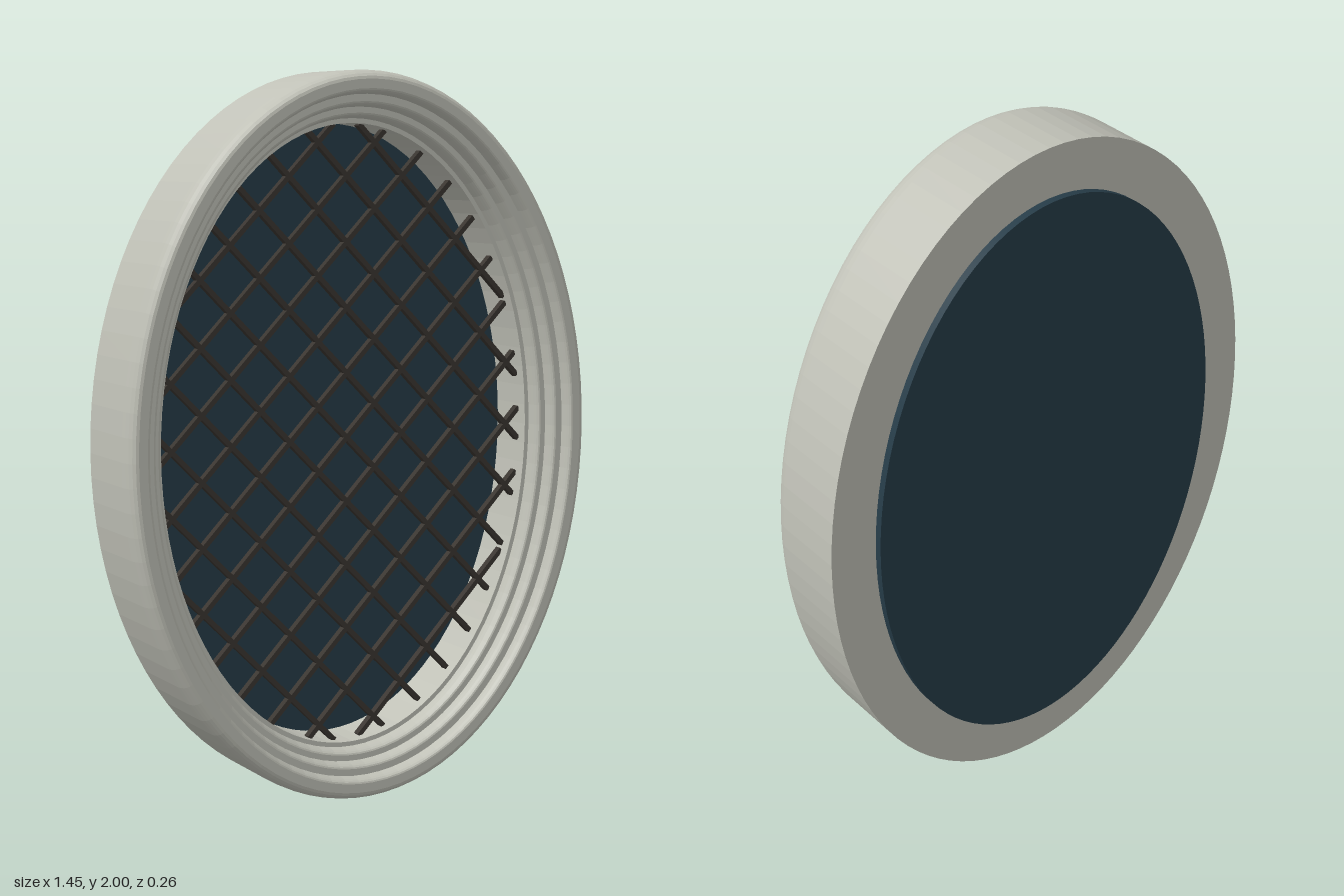
import * as THREE from 'three';

const RX = 0.725, RY = 1.0, RIM = 0.14, SEGMENTS = 96;

// Sweep a closed (inset, z) profile round the oval
function ovalSweep(profile) {
  const positions = [], index = [], n = profile.length;
  for (let i = 0; i < SEGMENTS; i++) {
    const a = (i / SEGMENTS) * Math.PI * 2;
    for (const [inset, z] of profile) {
      positions.push((RX - inset) * Math.cos(a), (RY - inset) * Math.sin(a), z);
    }
  }
  for (let i = 0; i < SEGMENTS; i++) {
    const next = (i + 1) % SEGMENTS;
    for (let j = 0; j < n; j++) {
      const k = (j + 1) % n;
      const a = i * n + j, b = next * n + j, c = next * n + k, d = i * n + k;
      index.push(a, b, c, a, c, d);
    }
  }
  const geometry = new THREE.BufferGeometry();
  geometry.setAttribute('position', new THREE.Float32BufferAttribute(positions, 3));
  geometry.setIndex(index);
  const flat = geometry.toNonIndexed();
  flat.computeVertexNormals();
  return flat;
}

function addMesh(parent, name, geometry, material) {
  const mesh = new THREE.Mesh(geometry, material);
  mesh.name = name;
  parent.add(mesh);
  return mesh;
}

export function createModel() {
  const model = new THREE.Group();
  model.name = 'ovalWindow';
  const stone = new THREE.MeshStandardMaterial({ color: 0xc0c1b7, flatShading: true });
  const glass = new THREE.MeshStandardMaterial({ color: 0x263c48 });
  const lead = new THREE.MeshStandardMaterial({ color: 0x3a3530 });

  const window = new THREE.Group();
  window.name = 'window';
  window.position.y = RY;
  model.add(window);

  // Moulded frame: straight outside, rounded steps falling towards the opening
  const profile = [[0, -0.115], [0, 0.08]];
  const steps = [[0, 0.08, 0.13], [0.05, 0.13, 0.095], [0.083, 0.095, 0.06], [0.113, 0.06, 0.02]];
  steps.forEach(([inset, from, to], s) => {
    const width = s === 0 ? 0.025 : 0.014;
    for (let i = 1; i <= 5; i++) {
      const t = (i / 5) * Math.PI / 2;
      // The first corner is convex; the later steps curve down
      profile.push(s === 0
        ? [inset + width * (1 - Math.cos(t)), from + (to - from) * Math.sin(t)]
        : [inset + width * Math.sin(t), from + (to - from) * (1 - Math.cos(t))]);
    }
    profile.push([s < 3 ? steps[s + 1][0] : RIM, to]);
  });
  profile.push([RIM, -0.115]);
  addMesh(window, 'frame', ovalSweep(profile), stone);

  // Oval pane standing slightly proud of the back
  const pane = new THREE.CylinderGeometry(1, 1, 0.02, SEGMENTS);
  pane.rotateX(Math.PI / 2);
  pane.scale(RX - RIM, RY - RIM, 1);
  addMesh(window, 'pane', pane, glass).position.z = -0.125;

  // Diagonal lattice, each bar cut to the length of its chord across the opening
  const lattice = new THREE.Group();
  lattice.name = 'lattice';
  window.add(lattice);
  const a2 = (RX - RIM) ** 2, b2 = (RY - RIM) ** 2, spacing = 0.127;
  const reach = Math.sqrt((a2 + b2) / 2);
  for (const side of [-1, 1]) {
    for (let i = -6; i <= 6; i++) {
      const offset = i * spacing;
      if (Math.abs(offset) >= reach) continue;
      const length = 2 * Math.sqrt(a2 * b2 * (reach ** 2 - offset ** 2)) / reach ** 2;
      // Slide along the bar to the middle of its chord
      const slide = offset * side * (b2 - a2) / (a2 + b2);
      const bar = addMesh(lattice, 'latticeBar', new THREE.BoxGeometry(length, 0.014, 0.02), lead);
      bar.rotation.z = side * Math.PI / 4;
      bar.position.set(
        (slide - side * offset) * Math.SQRT1_2,
        (side * slide + offset) * Math.SQRT1_2,
        -0.02);
    }
  }
  return model;
}
